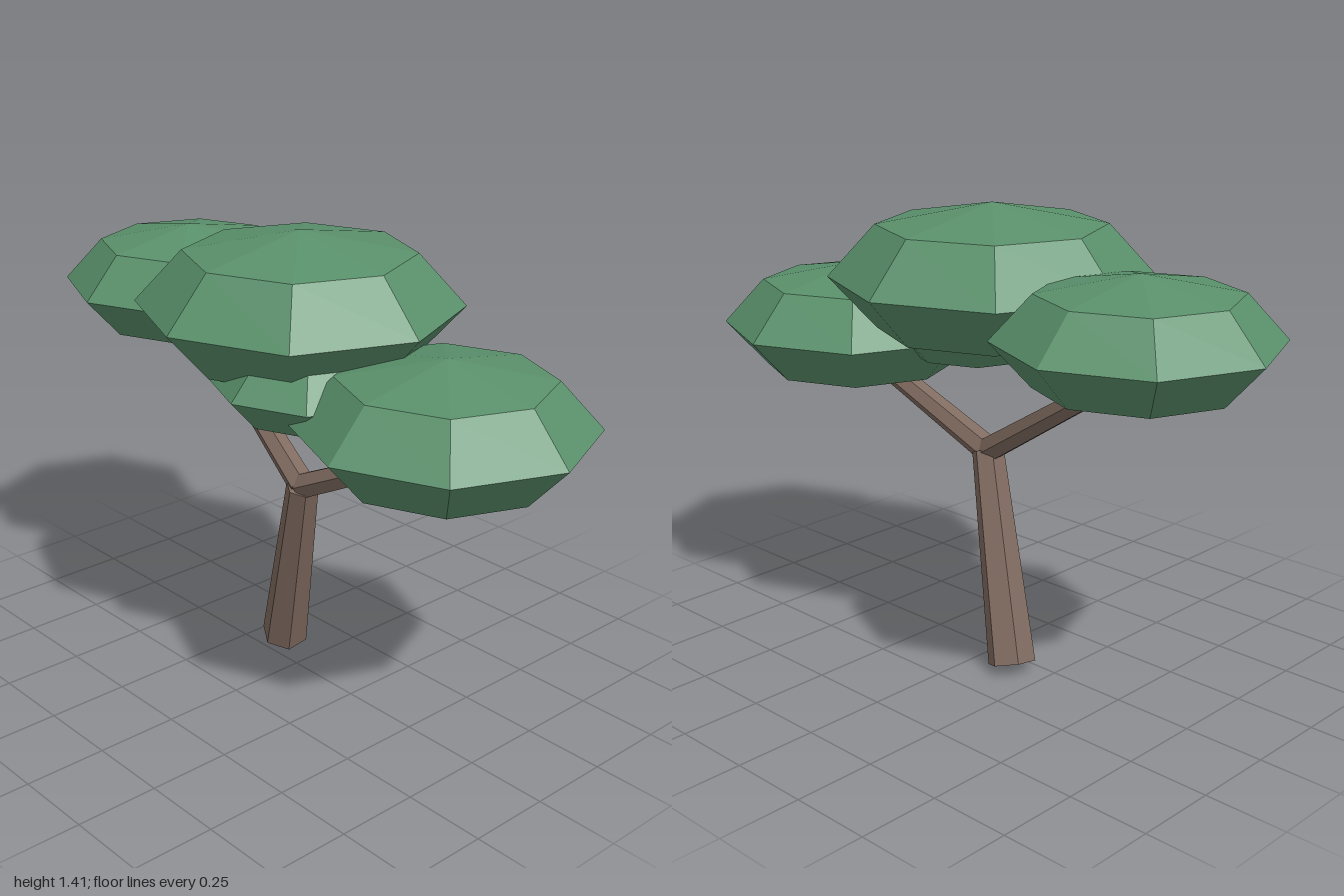
import * as THREE from 'three';

export function createModel() {
  const model = new THREE.Group();
  model.name = 'tree';

  const bark = new THREE.MeshStandardMaterial({ color: 0x7f6a5f, flatShading: true });
  bark.name = 'bark brown';
  const leaf = new THREE.MeshStandardMaterial({ color: 0x5a906b, flatShading: true });
  leaf.name = 'leaf green';

  // Tapered six-sided limb running between two points
  const limb = (name, from, to, r0, r1) => {
    const a = new THREE.Vector3(...from);
    const b = new THREE.Vector3(...to);
    const dir = b.clone().sub(a);
    const mesh = new THREE.Mesh(new THREE.CylinderGeometry(r1, r0, dir.length(), 6), bark);
    mesh.name = name;
    mesh.position.copy(a).add(b).multiplyScalar(0.5);
    mesh.quaternion.setFromUnitVectors(new THREE.Vector3(0, 1, 0), dir.normalize());
    model.add(mesh);
  };

  // Flattened faceted foliage clump, 0.45 as tall as it is wide
  const clump = (name, r, x, y, z) => {
    const geometry = new THREE.SphereGeometry(r, 8, 4).scale(1, 0.45, 1);
    const mesh = new THREE.Mesh(geometry, leaf);
    mesh.name = name;
    mesh.position.set(x, y, z);
    model.add(mesh);
  };

  // Leaning trunk and its fork
  const fork = [0.055, 0.64, 0.025];
  limb('trunk', [-0.14, 0.025, -0.073], fork, 0.074, 0.05);
  limb('leftBranch', fork, [0.57, 0.89, -0.03], 0.042, 0.033);
  limb('rightBranch', fork, [-0.6, 1.04, -0.08], 0.042, 0.03);

  // Foliage
  clump('topFoliage', 0.48, 0.01, 1.192, -0.003);
  clump('rightFoliage', 0.4, -0.6, 1.12, -0.08);
  clump('leftFoliage', 0.428, 0.57, 0.968, -0.027);
  clump('lowerFoliage', 0.295, 0.16, 1.018, 0.085);

  return model;
}
